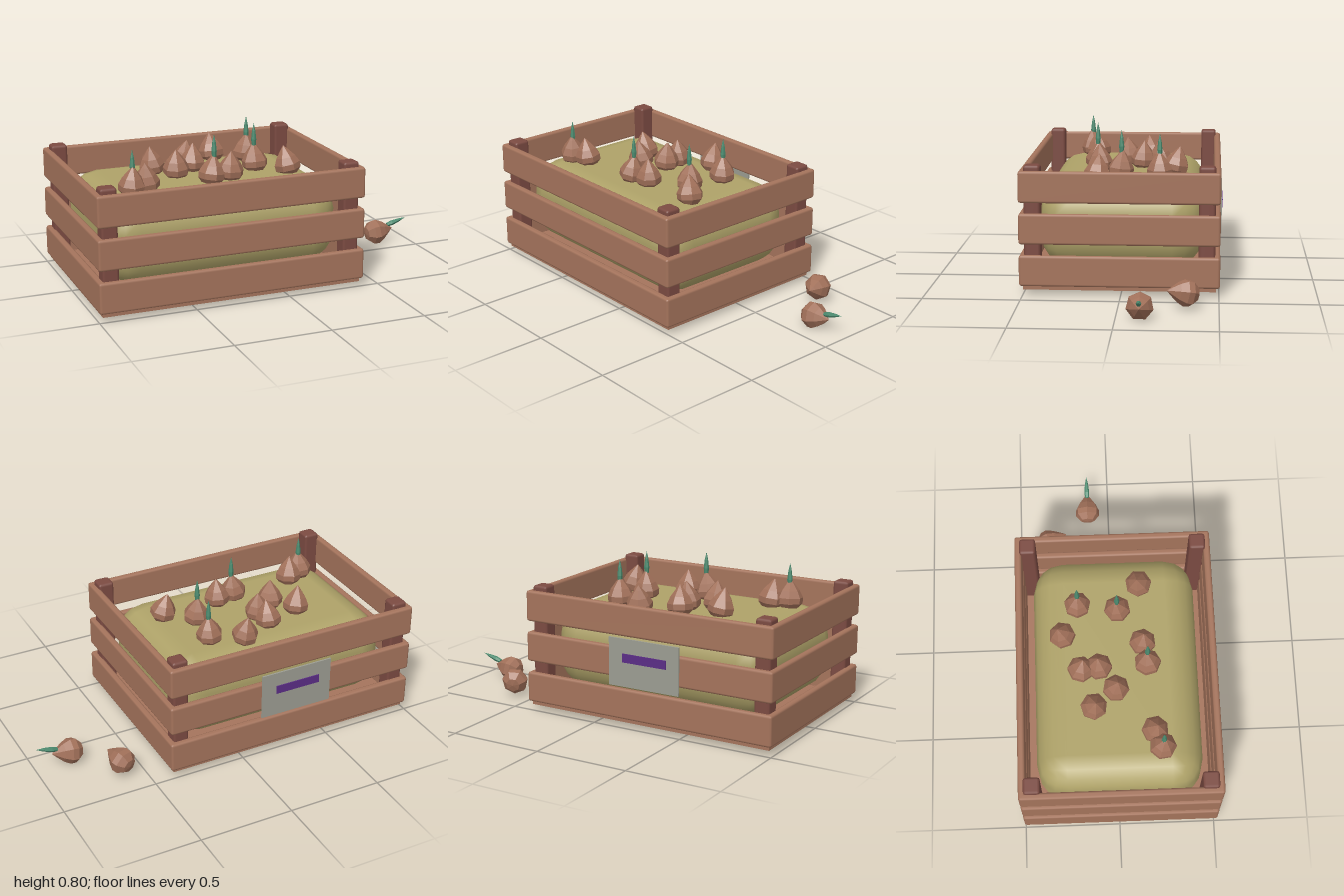
import * as THREE from 'three';
import { RoundedBoxGeometry } from 'three/addons/geometries/RoundedBoxGeometry.js';

const mat = (name, color, opts = {}) => {
  const m = new THREE.MeshStandardMaterial({ color, ...opts });
  m.name = name;
  return m;
};

export function createModel() {
  const wood = mat('plankWood', 0xa5745c);
  const postWood = mat('postWood', 0x7c4b42);
  const soil = mat('straw', 0xaea268);
  const skin = mat('bulbSkin', 0xa17059, { flatShading: true });
  const green = mat('sproutGreen', 0x4c8c70, { flatShading: true });
  const plateGrey = mat('plateGrey', 0x9c9d92);
  const purple = mat('stripePurple', 0x5b2d86);

  const model = new THREE.Group();
  const crate = new THREE.Group();
  crate.name = 'crate';
  crate.position.set(-0.295, 0, 0.007);
  model.add(crate);

  const add = (parent, name, geometry, material, x, y, z) => {
    const mesh = new THREE.Mesh(geometry, material);
    mesh.name = name;
    mesh.position.set(x, y, z);
    parent.add(mesh);
    return mesh;
  };
  const chamferBox = (w, h, d, r) => new RoundedBoxGeometry(w, h, d, 1, r);

  // Crate: floor, three rows of planks, corner posts
  add(crate, 'floor', new THREE.BoxGeometry(1.375, 0.03, 0.985), wood, 0, 0.056, 0);
  for (const [y, h] of [[0.14, 0.16], [0.357, 0.158], [0.573, 0.162]]) {
    for (const s of [-1, 1]) {
      add(crate, s > 0 ? 'frontPlank' : 'backPlank', chamferBox(1.41, h, 0.036, 0.013), wood, 0, y, s * 0.494);
      add(crate, s > 0 ? 'leftPlank' : 'rightPlank', chamferBox(0.036, h, 1.024, 0.013), wood, s * 0.687, y, 0);
    }
  }
  for (const sx of [-1, 1]) for (const sz of [-1, 1])
    add(crate, 'cornerPost', chamferBox(0.084, 0.642, 0.084, 0.014), postWood, sx * 0.638, 0.359, sz * 0.444);

  // Padded filling
  add(crate, 'filling', new RoundedBoxGeometry(1.25, 0.44, 0.85, 2, 0.16), soil, 0, 0.345, 0);

  // Label plate with a coloured strip on the back
  add(model, 'labelPlate', new THREE.BoxGeometry(0.4, 0.248, 0.009), plateGrey, -0.3, 0.361, -0.509);
  add(model, 'labelStrip', new THREE.BoxGeometry(0.25, 0.045, 0.007), purple, -0.305, 0.387, -0.515);

  // Bulbs: seven-sided lathe with a pointed neck, optionally sprouting
  const profile = (pts) => pts.map(([r, y]) => new THREE.Vector2(r, y));
  const bulbGeo = new THREE.LatheGeometry(profile(
    [[0, 0], [0.038, 0.006], [0.067, 0.038], [0.069, 0.068], [0.05, 0.105], [0.02, 0.143], [0, 0.166]]), 7);
  const sproutGeo = new THREE.LatheGeometry(profile(
    [[0, 0], [0.011, 0.004], [0.014, 0.035], [0.009, 0.08], [0, 0.122]]), 6);
  const up = new THREE.Vector3(0, 1, 0);
  const bulb = (name, base, dir, spin) => {
    const g = new THREE.Group();
    g.name = name;
    g.position.set(...base);
    g.quaternion.setFromUnitVectors(up, new THREE.Vector3(...dir).normalize());
    add(g, 'bulb', bulbGeo, skin, 0, 0, 0).rotation.y = spin;
    model.add(g);
    return g;
  };

  // Bulbs in the crate: x, z, lean in x, lean in z, sprout height (0 for none)
  const rows = [
    [-0.13, -0.27, -0.05, -0.2, 0], [-0.315, -0.175, 0.1, 0.12, 0], [-0.305, -0.085, 0.05, -0.05, 0],
    [-0.52, -0.115, -0.15, 0.1, 0], [-0.425, 0, -0.05, 0.1, 0], [0.035, -0.185, 0.06, 0.02, 0.80],
    [0.005, 0.02, -0.04, -0.1, 0.81], [0.14, 0.135, -0.2, -0.1, 0], [-0.18, 0.145, 0.03, 0.05, 0],
    [-0.29, 0.165, 0.15, -0.05, 0.81], [-0.65, 0.19, -0.1, 0.12, 0], [-0.735, 0.225, 0.04, 0.1, 0.79],
  ];
  rows.forEach(([x, z, lx, lz, top], i) => {
    bulb('crateBulb', [x - lx * 0.07, 0.543, z - lz * 0.07], [lx, 1, lz], i * 1.3);
    if (top) add(model, 'sprout', sproutGeo, green, x + lx * 0.09, top - 0.122, z + lz * 0.02);
  });

  // Two loose bulbs beside the crate
  bulb('looseBulb', [0.592, 0.083, -0.395], [0.055, 0.03, 0.145], 0.4);
  bulb('looseBulb', [0.742, 0.07, -0.118], [0.165, 0.018, 0], 0.2);
  const sprout = add(model, 'sprout', sproutGeo, green, 0.873, 0.107, -0.118);
  sprout.quaternion.setFromUnitVectors(up, new THREE.Vector3(0.118, 0.033, 0).normalize());

  return model;
}
